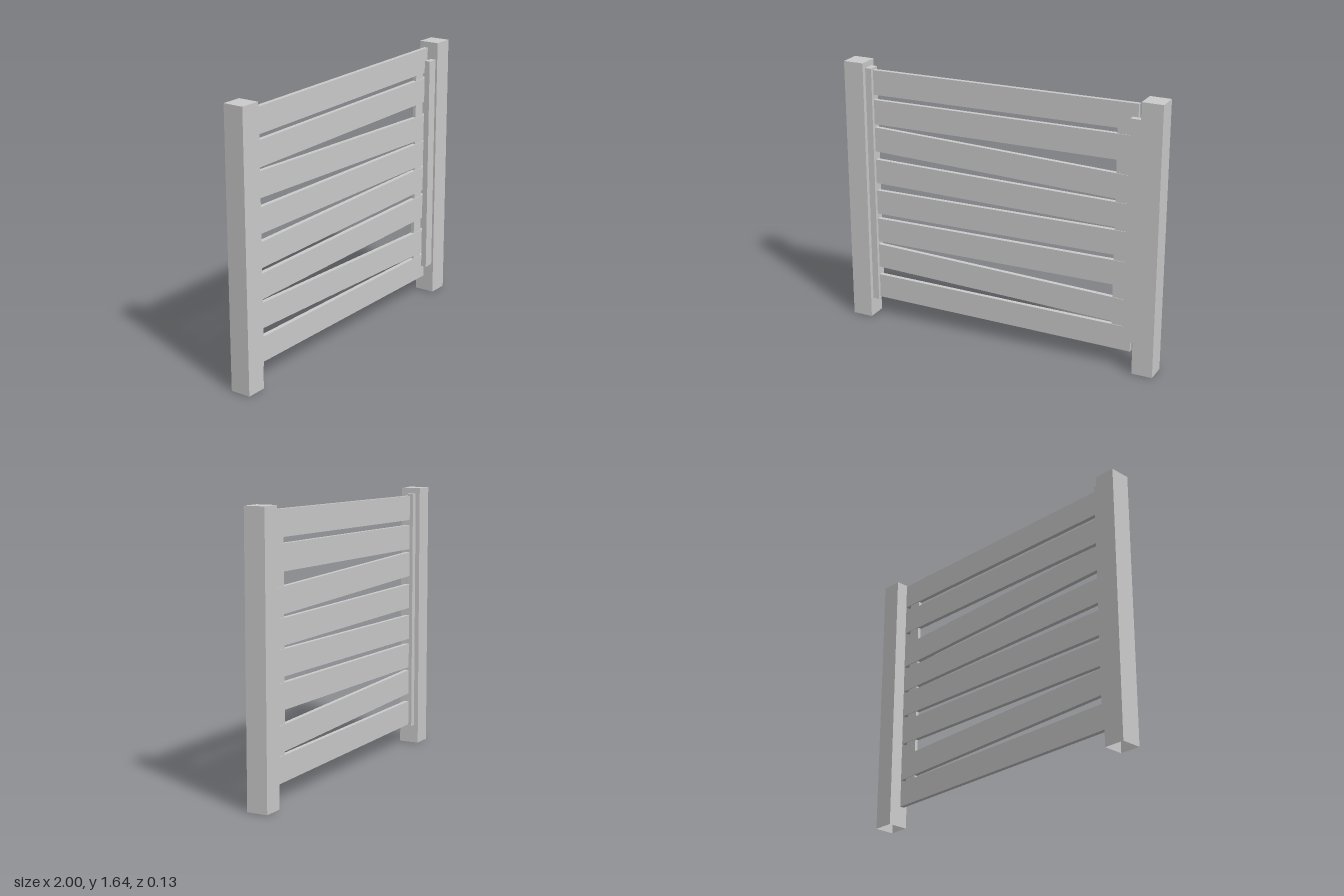
import * as THREE from 'three';

const material = new THREE.MeshStandardMaterial({ color: 0xcccccc, flatShading: true });
const openMaterial = new THREE.MeshStandardMaterial({ color: 0xcccccc, flatShading: true, side: THREE.DoubleSide });

// Box given by its extents on each axis
function box(name, [x0, x1], [y0, y1], [z0, z1]) {
  const mesh = new THREE.Mesh(new THREE.BoxGeometry(x1 - x0, y1 - y0, z1 - z0), material);
  mesh.position.set((x0 + x1) / 2, (y0 + y1) / 2, (z0 + z1) / 2);
  mesh.name = name;
  return mesh;
}

// Post with an open foot: the box's bottom face (group 3) is left out
function post(name, x0, x1) {
  const mesh = box(name, [x0, x1], [0, 1.645], [-0.063, 0.063]);
  const index = Array.from(mesh.geometry.index.array);
  index.splice(18, 6);
  mesh.geometry.setIndex(index);
  mesh.geometry.clearGroups();
  mesh.material = openMaterial;
  return mesh;
}

// Slat sheared up or down along its length so its ends stay upright
function slat(name, y, slope) {
  const x0 = -0.85, x1 = 0.84;
  const geometry = new THREE.BoxGeometry(x1 - x0, 0.152, 0.027);
  geometry.translate((x0 + x1) / 2, y, 0);
  const p = geometry.attributes.position;
  for (let i = 0; i < p.count; i++) p.setY(i, p.getY(i) + slope * p.getX(i));
  geometry.computeVertexNormals();
  const mesh = new THREE.Mesh(geometry, material);
  mesh.name = name;
  return mesh;
}

export function createModel() {
  const gate = new THREE.Group();
  gate.name = 'gate';

  // Posts
  gate.add(post('rightPost', -1, -0.873), post('leftPost', 0.873, 1));

  // Hinge rail on one post, closing stop on the other
  gate.add(box('hingeRail', [-0.873, -0.833], [0.115, 1.61], [-0.035, 0.035]));
  gate.add(box('gateStop', [0.807, 0.873], [0.19, 1.54], [0.015, 0.05]));

  // Upright batten joining the free ends of the slats
  gate.add(box('batten', [0.72, 0.797], [0.13, 1.6], [-0.01, 0.01]));

  // Eight uneven slats: a pattern of four, used twice
  const slats = new THREE.Group();
  slats.name = 'slats';
  const pattern = [[1.531, 0.0115], [1.346, 0.0105], [1.142, -0.0282], [0.955, -0.0075]];
  for (let r = 0; r < 2; r++) {
    pattern.forEach(([y, slope], i) => slats.add(slat(`slat${r * 4 + i + 1}`, y - r * 0.76, slope)));
  }
  gate.add(slats);
  return gate;
}
